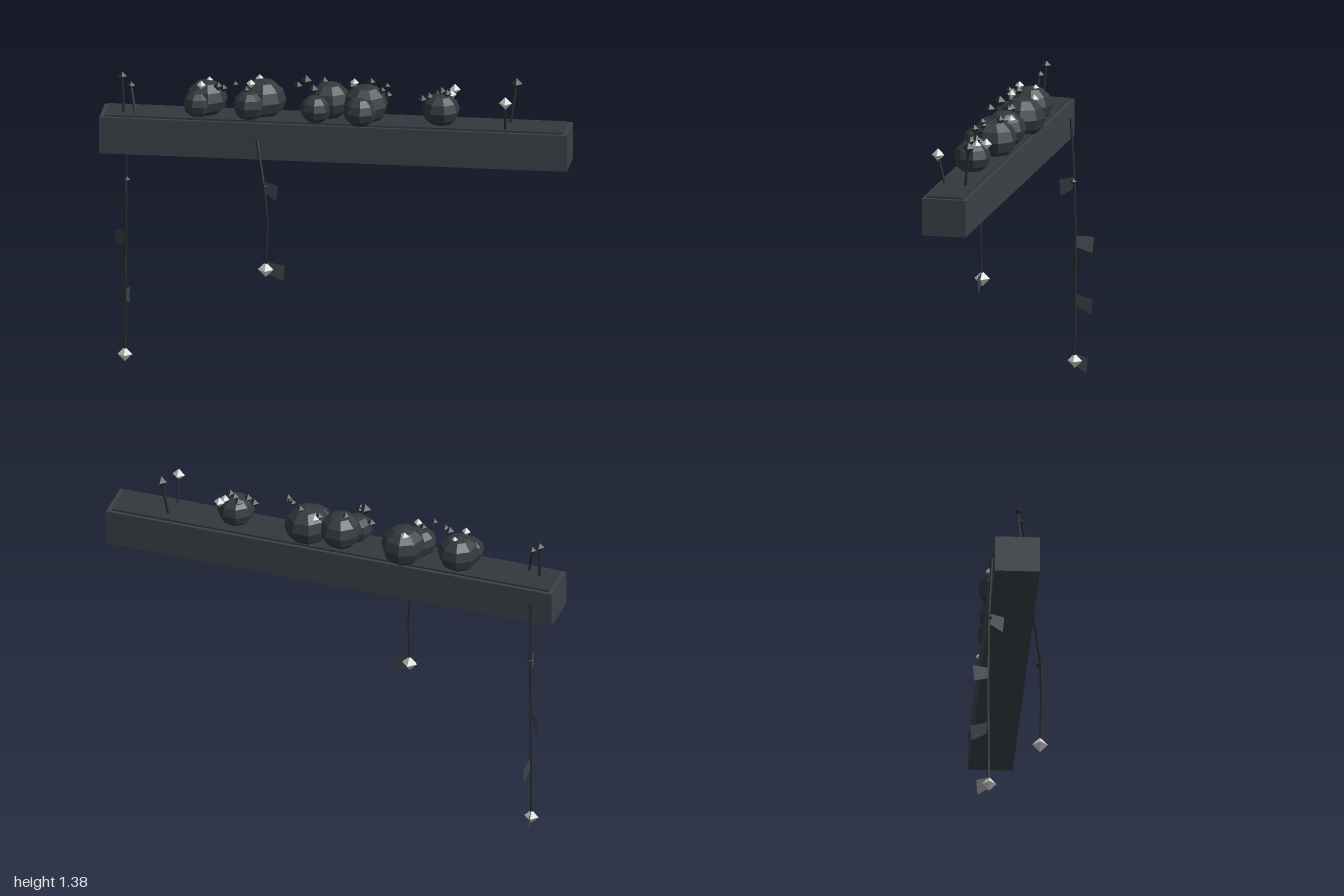
import * as THREE from 'three';

const mat = (name, color, side = THREE.FrontSide) => {
  const m = new THREE.MeshStandardMaterial({ color, side, flatShading: true });
  m.name = name;
  return m;
};

export function createModel() {
  const root = new THREE.Group();
  root.name = 'hangingPlanter';
  const box = mat('slate box', 0x3b4147);
  const soilMat = mat('dark soil', 0x33383d);
  const foliage = mat('dark foliage', 0x32393d);
  const leafMat = mat('leaf', 0x3b4348, THREE.DoubleSide);
  const stemMat = mat('stem', 0x282c2f);
  const pale = mat('pale flower', 0xd2d2d0);
  const dark = mat('dark flower', 0x2b2e32);

  const add = (name, geo, m, x = 0, y = 0, z = 0, parent = root) => {
    const mesh = new THREE.Mesh(geo, m);
    mesh.name = name;
    mesh.position.set(x, y, z);
    parent.add(mesh);
    return mesh;
  };

  // Trough with a slightly raised bed of soil
  add('trough', new THREE.BoxGeometry(2, 0.16, 0.19), box, 0, 1.1, 0.013);
  add('soil', new THREE.BoxGeometry(1.96, 0.02, 0.16), soilMat, 0, 1.178, 0.013);

  // Rounded bushes: x, z, radius, height of centre, turn
  [
    [-0.555, 0, 0.09, 1.25, 0.2], [-0.585, 0.05, 0.065, 1.24, 0.5],
    [-0.315, -0.02, 0.098, 1.25, 0.1], [-0.365, 0.045, 0.073, 1.24, 0.6],
    [-0.03, -0.01, 0.09, 1.26, 0.3], [-0.08, 0.06, 0.068, 1.24, 0],
    [0.125, 0, 0.098, 1.25, 0.4], [0.11, 0.065, 0.073, 1.238, 0.1],
    [0.45, 0.02, 0.08, 1.245, 0.3],
  ].forEach(([x, z, r, y, turn]) => {
    const bush = add('bush', new THREE.SphereGeometry(r, 8, 6), foliage, x, y, z);
    bush.scale.y = 0.9;
    bush.rotation.y = turn;
  });

  const flower = (x, y, z, r, m) => add('flower', new THREE.OctahedronGeometry(r), m, x, y, z);

  // Small blossoms over the bushes: x, y, z, radius, pale or dark
  [
    [-0.57, 1.325, 0.055, 0.02, pale], [-0.5, 1.32, 0.045, 0.02, dark],
    [-0.475, 1.318, 0.062, 0.018, dark], [-0.545, 1.325, -0.02, 0.015, pale],
    [-0.425, 1.338, 0.065, 0.015, dark], [-0.36, 1.335, 0.04, 0.02, pale],
    [-0.335, 1.325, -0.065, 0.02, pale], [-0.38, 1.31, 0.05, 0.016, dark],
    [-0.165, 1.32, -0.005, 0.02, dark], [-0.125, 1.357, 0.035, 0.025, dark],
    [-0.09, 1.33, 0.07, 0.022, dark], [-0.055, 1.34, -0.02, 0.018, dark],
    [0.07, 1.325, -0.06, 0.02, pale], [0.06, 1.32, -0.03, 0.018, dark],
    [0.145, 1.34, -0.03, 0.018, dark], [0.2, 1.325, 0.03, 0.016, dark],
    [0.22, 1.345, 0.03, 0.016, dark], [0.23, 1.315, 0.062, 0.018, dark],
    [0.37, 1.29, 0.025, 0.02, dark], [0.4, 1.305, 0.03, 0.02, dark],
    [0.43, 1.302, -0.01, 0.022, dark], [0.45, 1.32, 0.0, 0.02, dark],
    [0.475, 1.318, 0.02, 0.02, dark], [0.49, 1.305, -0.01, 0.022, pale],
    [0.5, 1.315, -0.055, 0.024, pale],
  ].forEach((f) => flower(...f));

  // Stem as a chain of slender rods through the given points
  const stem = (name, points, r) => {
    const pts = points.map((p) => new THREE.Vector3(...p));
    const path = new THREE.CurvePath();
    for (let i = 1; i < pts.length; i++) path.add(new THREE.LineCurve3(pts[i - 1], pts[i]));
    add(name, new THREE.TubeGeometry(path, (pts.length - 1) * 4, r, 5), stemMat);
  };

  // Tall single flowers: base, top, size, colour
  [
    [[-0.905, 1.18, 0.035], [-0.912, 1.34, 0.02], 0.02, dark],
    [[-0.85, 1.18, 0.06], [-0.873, 1.305, 0.038], 0.018, dark],
    [[0.73, 1.18, 0.07], [0.735, 1.312, 0.1], 0.028, pale],
    [[0.74, 1.18, -0.02], [0.765, 1.355, -0.04], 0.026, dark],
  ].forEach(([base, top, r, m]) => {
    stem('flowerStem', [base, top], 0.006);
    flower(...top, r, m);
  });

  // Leaf: a four-cornered blade growing out from a point in direction (dx, dz)
  const leaf = (x, y, z, dx, dz) => {
    const geo = new THREE.BufferGeometry();
    geo.setAttribute('position', new THREE.Float32BufferAttribute([
      x, y + 0.025, z,
      x, y - 0.025, z,
      x + dx * 0.9, y - 0.06, z + dz * 0.9,
      x + dx, y + 0.01, z + dz,
    ], 3));
    geo.setIndex([0, 1, 2, 0, 2, 3]);
    geo.computeVertexNormals();
    add('leaf', geo, leafMat);
  };

  // Long vine hanging at the back
  stem('longVine', [[-0.91, 1.115, -0.088], [-0.912, 0.84, -0.103], [-0.915, 0.5, -0.107], [-0.917, 0.06, -0.103]], 0.006);
  flower(-0.917, 0.06, -0.103, 0.032, pale);
  flower(-0.908, 0.84, -0.098, 0.014, dark);
  leaf(-0.912, 0.835, -0.1, 0.005, 0.062);
  leaf(-0.915, 0.58, -0.108, -0.054, -0.067);
  leaf(-0.914, 0.325, -0.107, 0.008, -0.077);
  leaf(-0.917, 0.065, -0.105, -0.006, -0.053);

  // Short vine hanging at the front
  stem('shortVine', [[-0.325, 1.115, 0.12], [-0.292, 0.93, 0.15], [-0.275, 0.77, 0.156], [-0.283, 0.545, 0.15]], 0.006);
  flower(-0.283, 0.545, 0.15, 0.034, pale);
  flower(-0.285, 0.915, 0.145, 0.016, dark);
  leaf(-0.295, 0.915, 0.152, 0.065, 0.012);
  leaf(-0.283, 0.555, 0.15, 0.083, 0.0);

  return root;
}
